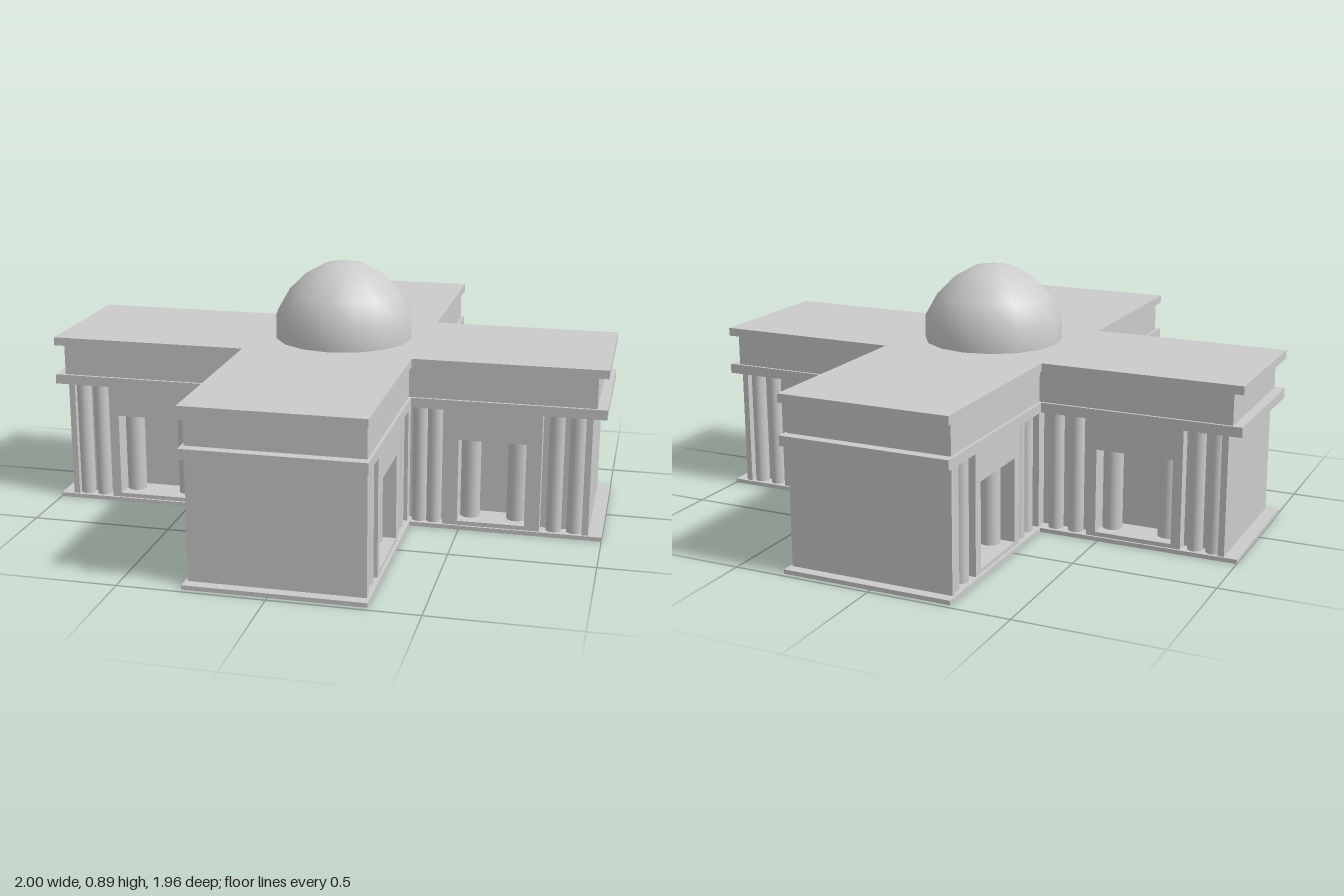
import * as THREE from 'three';
import { toCreasedNormals } from 'three/addons/utils/BufferGeometryUtils.js';

const material = new THREE.MeshStandardMaterial({ color: 0xcccccc });
const FLOOR = 0.015, CEILING = 0.44, HEIGHT = CEILING - FLOOR;
// outer edges of the cross plan: long arms and their sides
const LEFT = -0.285, RIGHT = 0.325, BACK = -0.275, FRONT = 0.268;

export function createModel() {
  const model = new THREE.Group();
  model.name = 'crossPlanBuilding';

  function add(parent, name, geometry, x = 0, y = 0, z = 0) {
    const mesh = new THREE.Mesh(geometry, material);
    mesh.name = name;
    mesh.position.set(x, y, z);
    parent.add(mesh);
    return mesh;
  }

  // box given by its limits on each axis
  function block(parent, name, x0, x1, y0, y1, z0, z1) {
    return add(parent, name, new THREE.BoxGeometry(x1 - x0, y1 - y0, z1 - z0),
      (x0 + x1) / 2, (y0 + y1) / 2, (z0 + z1) / 2);
  }

  // horizontal cross-shaped layer, drawn in from arm ends and arm sides
  function crossLayer(name, y0, y1, endInset, sideInset) {
    const e = 1 - endInset, f = 0.982 - endInset, s = sideInset;
    const l = LEFT + s, r = RIGHT - s, b = BACK + s, t = FRONT - s;
    const outline = [[-e, b], [l, b], [l, -f], [r, -f], [r, b], [e, b],
      [e, t], [r, t], [r, f], [l, f], [l, t], [-e, t]];
    const shape = new THREE.Shape(outline.map(([x, z]) => new THREE.Vector2(x, -z)));
    const geometry = new THREE.ExtrudeGeometry(shape, { depth: y1 - y0, bevelEnabled: false });
    geometry.rotateX(-Math.PI / 2);
    add(model, name, geometry, 0, y0, 0);
  }

  crossLayer('basePlate', 0, FLOOR, 0, 0);
  crossLayer('lowerCornice', CEILING, 0.475, 0, 0);
  crossLayer('attic', 0.475, 0.585, 0.035, 0.01);
  crossLayer('roofSlab', 0.585, 0.615, 0, 0);

  // solid core behind the side walls, and the full-width end walls
  const l = LEFT + 0.01, r = RIGHT - 0.01, b = BACK + 0.008, t = FRONT - 0.008;
  const recess = 0.12, endX = 0.953, endZ = 0.945, thick = 0.022;
  block(model, 'centralHall', l, r, FLOOR, CEILING, b, t);
  for (const side of [-1, 1]) {
    const x0 = side < 0 ? -endX : r, x1 = side < 0 ? l : endX;
    block(model, 'wingCore', x0 + 0.005, x1 - 0.005, FLOOR, CEILING, b + recess, t - recess);
    const z0 = side < 0 ? -endZ : t, z1 = side < 0 ? b : endZ;
    block(model, 'wingCore', l + recess, r - recess, FLOOR, CEILING, z0 + 0.005, z1 - 0.005);
    const ex = side * (endX - thick / 2), ez = side * (endZ - thick / 2);
    block(model, 'endWall', ex - thick / 2, ex + thick / 2, FLOOR, CEILING, b, t);
    block(model, 'endWall', l, r, FLOOR, CEILING, ez - thick / 2, ez + thick / 2);
  }

  // side wall of a wing, facing local +z at z = 0: doorway with two columns,
  // flanked by shallow slots that hold pairs of columns
  function sideWall(parent, x0, x1, doorX, doorWidth) {
    const wall = new THREE.Group();
    wall.name = 'sideWall';
    parent.add(wall);
    const half = 0.171, d = doorWidth / 2, slotDepth = 0.045, radius = 0.027;

    const panel = new THREE.Shape();
    panel.moveTo(doorX - half, FLOOR);
    panel.lineTo(doorX + half, FLOOR);
    panel.lineTo(doorX + half, CEILING);
    panel.lineTo(doorX - half, CEILING);
    const opening = new THREE.Path();
    opening.moveTo(doorX - d, 0.03);
    opening.lineTo(doorX - d, 0.33);
    opening.lineTo(doorX + d, 0.33);
    opening.lineTo(doorX + d, 0.03);
    panel.holes.push(opening);
    add(wall, 'doorwayPanel',
      new THREE.ExtrudeGeometry(panel, { depth: recess, bevelEnabled: false }), 0, 0, -recess);

    for (const side of [-1, 1]) {
      add(wall, 'doorColumn', new THREE.CylinderGeometry(0.035, 0.035, 0.3, 16),
        doorX + side * (d - 0.036), 0.18, -0.075);

      const a = side < 0 ? x0 : doorX + half, c = side < 0 ? doorX - half : x1;
      block(wall, 'slotBack', a, c, FLOOR, CEILING, -recess, -slotDepth);
      // one column close to the panel, one further away
      const from = side < 0 ? c : a, span = c - a;
      for (const k of [0.28, 0.7]) {
        add(wall, 'flankColumn', new THREE.CylinderGeometry(radius, radius, HEIGHT, 16),
          from + side * k * span, FLOOR + HEIGHT / 2, -radius - 0.004);
      }
    }
  }

  // the four facings, each with a wall on two wings: [start, end, door centre, door width]
  const west = [-endX, l, -0.627, 0.275], east = [r, endX, 0.612, 0.237];
  const south = [-endZ, -t, -0.61, 0.28], north = [-b, endZ, 0.605, 0.265];
  const flip = ([x0, x1, door, width]) => [-x1, -x0, -door, width];
  const facings = [
    [0, 0, t, [west, east]],
    [Math.PI, 0, b, [flip(west), flip(east)]],
    [Math.PI / 2, r, 0, [south, north]],
    [-Math.PI / 2, l, 0, [flip(south), flip(north)]],
  ];
  for (const [turn, x, z, walls] of facings) {
    const facing = new THREE.Group();
    facing.name = 'wingFacing';
    facing.rotation.y = turn;
    facing.position.set(x, 0, z);
    model.add(facing);
    walls.forEach((w) => sideWall(facing, ...w));
  }

  // dome on a low drum
  const profile = [[0.25, 0.61], [0.25, 0.70], [0.205, 0.78], [0.145, 0.84], [0.075, 0.88], [0.02, 0.891], [0, 0.891]]
    .map(([x, y]) => new THREE.Vector2(x, y));
  add(model, 'dome', toCreasedNormals(new THREE.LatheGeometry(profile, 16), 0.9), 0.025, 0, 0);

  return model;
}
